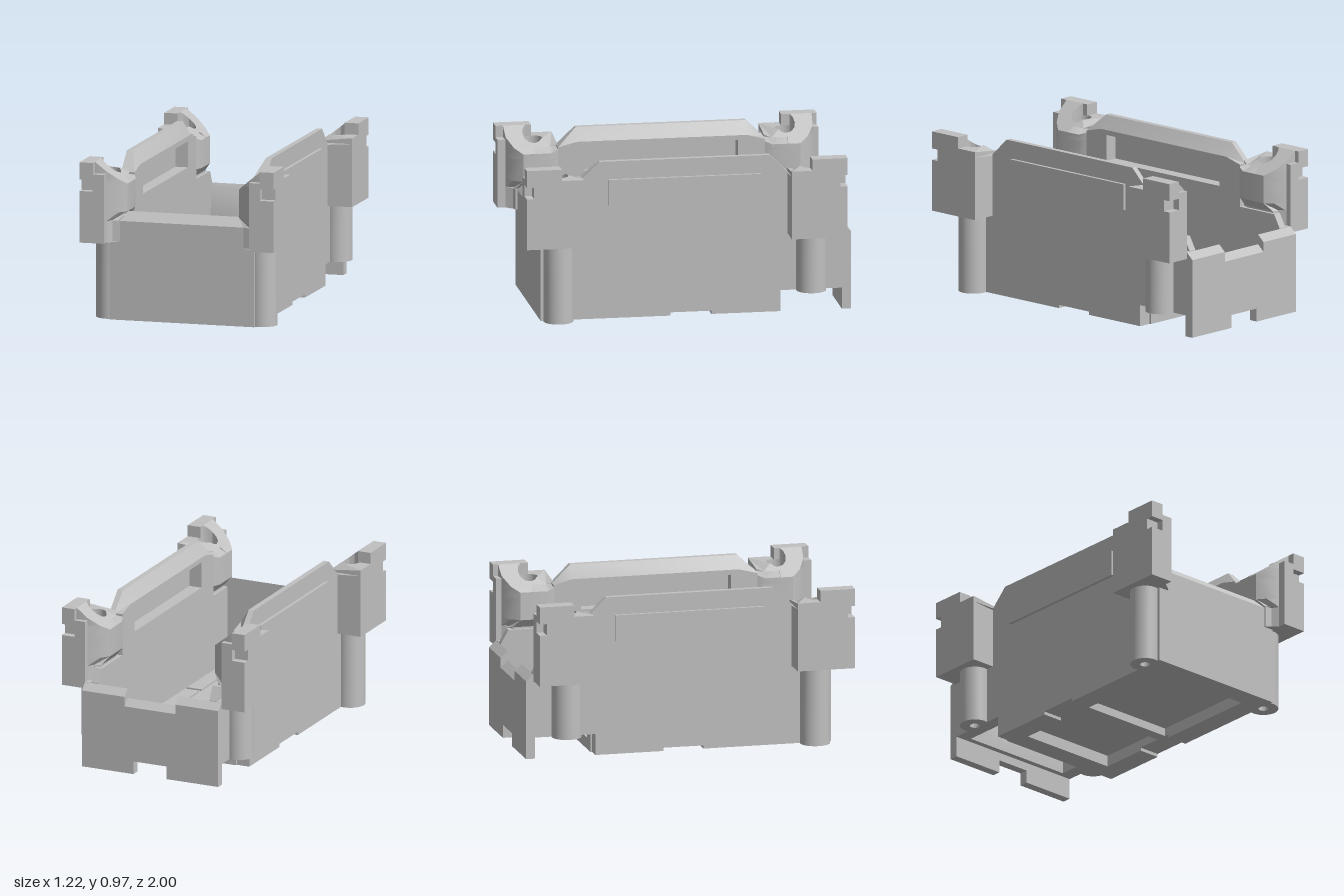
import * as THREE from 'three';
import { toCreasedNormals } from 'three/addons/utils/BufferGeometryUtils.js';

export function createModel() {
  const root = new THREE.Group();
  root.name = 'openEnclosure';
  const grey = new THREE.MeshStandardMaterial({ color: 0xc0c0c0 });
  grey.name = 'plainGrey';

  const add = (name, geo) => {
    const mesh = new THREE.Mesh(toCreasedNormals(geo, 0.5), grey);
    mesh.name = name;
    root.add(mesh);
  };

  // Mirror a geometry along one axis and restore its winding
  const mirror = (geo, sx, sz) => {
    const g = geo.index ? geo.toNonIndexed() : geo.clone();
    g.scale(sx, 1, sz);
    for (const a of Object.values(g.attributes)) {
      const n = a.itemSize;
      for (let i = 0; i < a.count; i += 3) {
        for (let k = 0; k < n; k++) {
          const p = (i + 1) * n + k, q = (i + 2) * n + k;
          [a.array[p], a.array[q]] = [a.array[q], a.array[p]];
        }
      }
    }
    return g;
  };
  const pair = (name, geo) => {
    add(name + 'Left', geo);
    add(name + 'Right', mirror(geo, -1, 1));
  };

  const box = (x0, x1, y0, y1, z0, z1) =>
    new THREE.BoxGeometry(x1 - x0, y1 - y0, z1 - z0)
      .translate((x0 + x1) / 2, (y0 + y1) / 2, (z0 + z1) / 2);
  const shapeOf = pts => new THREE.Shape(pts.map(([a, b]) => new THREE.Vector2(a, b)));
  const bend = (geo, rule) => {
    const p = geo.attributes.position;
    for (let i = 0; i < p.count; i++) p.setXYZ(i, ...rule(p.getX(i), p.getY(i), p.getZ(i)));
    return geo;
  };
  const extrude = (shape, depth) =>
    new THREE.ExtrudeGeometry(shape, { depth, bevelEnabled: false, curveSegments: 32 });

  // Outline of [x, z] points raised from y0 to y1, with optional holes
  const plan = (pts, y0, y1, holes = []) => {
    const s = shapeOf(pts.map(([x, z]) => [x, -z]));
    s.holes = holes;
    return extrude(s, y1 - y0).rotateX(-Math.PI / 2).translate(0, y0, 0);
  };
  // Side profile of [z, y] points swept from x0 to x1
  const side = (pts, x0, x1, hole) => {
    const s = shapeOf(pts.map(([z, y]) => [-z, y]));
    if (hole) s.holes = [new THREE.Path(hole.map(([z, y]) => new THREE.Vector2(-z, y)))];
    return extrude(s, x1 - x0).rotateY(Math.PI / 2).translate(x0, 0, 0);
  };
  const bore = r => [new THREE.Path().absarc(0.475, -0.785, r, 0, Math.PI * 2, false)];

  // Side walls: inner skin with a chamfered top, outer skin, and a bulged window pocket
  const pocket = [[-0.45, 0.7], [-0.45, 0.86], [0.48, 0.86], [0.48, 0.7]];
  const crest = [[0.645, 0.86], [0.53, 0.97], [-0.505, 0.97], [-0.617, 0.86], [-0.617, 0.6]];
  const foot = [[-0.57, 0], [-0.15, 0], [-0.15, 0.02], [0.1, 0.02], [0.1, 0]];
  const inner = side([[-0.945, 0.13], [-0.57, 0.13], ...foot, [0.86, 0], [0.86, 0.6], [0.645, 0.6],
    ...crest, [-0.9, 0.6], [-0.945, 0.52]], 0.37, 0.42, pocket);
  pair('sideWallInner', bend(inner, (x, y, z) => [x, x < 0.38 && y > 0.9 ? 0.89 : y, z]));
  pair('sideWallOuter', side([[-0.69, 0.13], [-0.57, 0.13], ...foot, [0.71, 0], [0.71, 0.6],
    [0.645, 0.6], ...crest, [-0.69, 0.6]], 0.42, 0.455, pocket));
  pair('rearSideFill', box(0.42, 0.455, 0.13, 0.52, -0.95, -0.82));
  pair('pocketCover', box(0.45, 0.475, 0.7, 0.86, -0.45, 0.48));

  // Front wall with sloping top edge
  add('frontWall', side([[0.84, 0], [0.89, 0], [0.89, 0.605], [0.84, 0.66]], -0.455, 0.455));

  // Rear wall in strips: notched below, dipped along the top middle
  const rearStrip = (x0, x1, base, drop) => side([[-1, base], [-1, 0.48 - drop], [-0.955, 0.52 - drop],
    [-0.945, 0.5 - drop], [-0.91, 0.36], [-0.91, 0.13], [-0.945, 0.13], [-0.945, base]], x0, x1);
  pair('rearWallSide', rearStrip(0.17, 0.455, 0, 0));
  pair('rearWallInner', rearStrip(0.11, 0.17, 0, 0.06));
  add('rearWallMiddle', rearStrip(-0.11, 0.11, 0.08, 0.06));

  // Floor with rear cut-outs and low pads
  add('floor', plan([[-0.37, 0.84], [0.37, 0.84], [0.37, -0.58], [0.29, -0.58], [0.29, -0.545],
    [0.16, -0.545], [0.16, -0.58], [-0.16, -0.58], [-0.16, -0.545], [-0.29, -0.545],
    [-0.29, -0.58], [-0.37, -0.58]], 0.07, 0.12));
  for (const [z0, z1] of [[-0.51, -0.26], [-0.23, 0.25], [0.28, 0.77]]) {
    pair('floorPad', box(0.275, 0.372, 0.11, 0.13, z0, z1));
  }

  // Underside: frame around two recesses, with rims that leave a shallow cross channel
  const recess = (z0, z1) => new THREE.Path([[-0.32, z1], [0.32, z1], [0.32, z0], [-0.32, z0]]
    .map(([x, z]) => new THREE.Vector2(x, -z)));
  add('baseFrame', plan([[-0.372, 0.845], [0.372, 0.845], [0.372, -0.58], [-0.372, -0.58]],
    0.02, 0.07, [recess(0.07, 0.76), recess(-0.45, 0)]));
  const rim = (end, inset, open) => plan([[-0.372, end], [0.372, end], [0.372, open], [0.32, open],
    [0.32, inset], [-0.32, inset], [-0.32, open], [-0.372, open]], 0, 0.02);
  add('frontBaseRim', rim(0.845, 0.76, 0.1));
  add('rearBaseRim', rim(-0.58, -0.45, -0.15));

  // Corner mounts, described at the front left and mirrored to all four corners
  const slope = x => 0.97 - 0.8 * (0.525 - x);
  const clip = geo => bend(geo, (x, y, z) => [x, x < 0.45 ? Math.min(y, slope(x)) : y, z]);
  const tuck = (x, y, z) => [x < 0.4 ? x + 0.04 : x, y, x < 0.36 && z > 0.8 ? 0.9 : z];
  const mount = (end, cap) => {
    const outline = (inn, notched) => [[0.61, 0.645],
      ...(notched ? [[0.61, end - 0.045], [0.525, end - 0.045], [0.525, end]] : [[0.61, end]]),
      [0.455, end], [0.455, 0.95], [inn + 0.04, 0.91], [inn, 0.86], [inn, 0.69], [inn + 0.02, 0.645]];
    return {
      MountBase: bend(plan(outline(0.35), 0.48, 0.61, bore(0.03)), tuck),
      MountFlare: bend(plan(outline(0.35), 0.61, 0.66, bore(0.03)),
        (x, y, z) => (y < 0.63 ? tuck(x, y, z) : [x, y, z])),
      MountBody: plan(outline(0.35), 0.66, 0.795, bore(0.06)),
      MountNotch: clip(plan(outline(0.35, true), 0.795, 0.865, bore(0.06))),
      MountTop: clip(plan(outline(0.39), 0.865, 0.9, bore(0.06))),
      MountCap: box(0.525, 0.61, 0.9, 0.97, cap, end),
      // Sloping gusset wrapped around the screw well
      MountRib: bend(plan([[0.525, 0.82], [0.525, 0.955], [0.455, 0.95], [0.39, 0.91], [0.35, 0.86],
        [0.35, 0.785], [0.415, 0.785], [0.423, 0.815], [0.445, 0.837], [0.475, 0.845],
        [0.505, 0.837]], 0.8, 0.97), (x, y, z) => [x, y > 0.9 ? slope(x) : y, z]),
    };
  };
  const post = y0 => {
    const s = new THREE.Shape().absarc(0.475, -0.785, 0.09, 0, Math.PI * 2, false);
    s.holes = bore(0.03);
    return extrude(s, 0.48 - y0).rotateX(-Math.PI / 2).translate(0, y0, 0);
  };
  const toRear = geo => mirror(geo, 1, -1).translate(0, 0, 0.03);
  for (const [name, geo] of Object.entries(mount(1, 0.785))) pair('front' + name, geo);
  for (const [name, geo] of Object.entries(mount(0.985, 0.77))) pair('rear' + name, toRear(geo));
  pair('frontPost', post(0));
  pair('rearPost', toRear(post(0.13)));

  return root;
}
